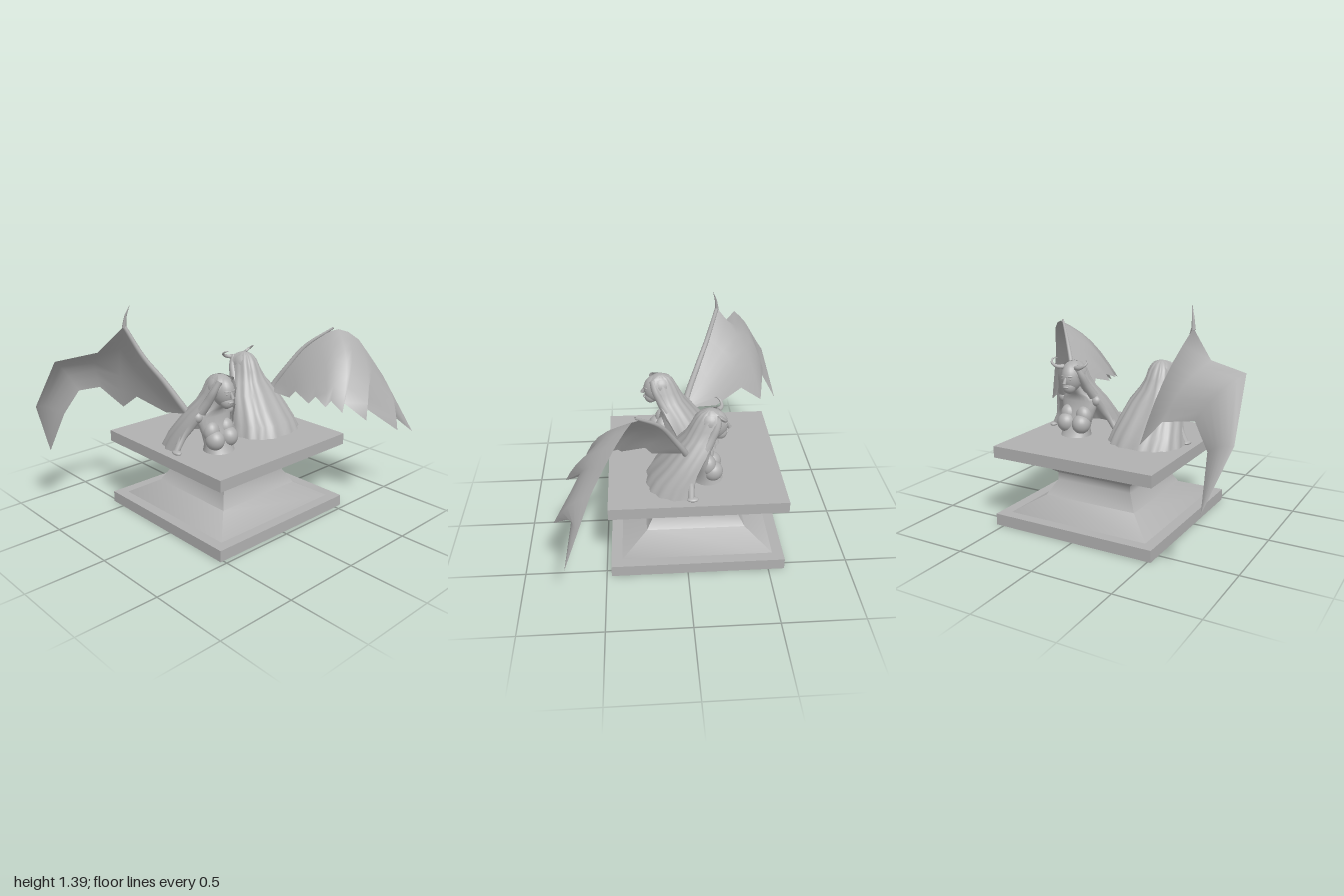
import * as THREE from 'three';
import { toCreasedNormals } from 'three/addons/utils/BufferGeometryUtils.js';

const stone = new THREE.MeshStandardMaterial({ color: 0xb0b0b0, side: THREE.DoubleSide });
stone.name = 'stone grey';

const V = (p) => new THREE.Vector3(...p);

function add(parent, name, geometry, position = [0, 0, 0], scale = [1, 1, 1]) {
  const mesh = new THREE.Mesh(geometry, stone);
  mesh.name = name;
  mesh.position.set(...position);
  mesh.scale.set(...scale);
  parent.add(mesh);
  return mesh;
}

// Skin rows of equal length into one smooth surface
function skin(rows, closed = false) {
  const n = rows[0].length, index = [];
  for (let r = 0; r < rows.length - 1; r++) {
    for (let i = 0; i < (closed ? n : n - 1); i++) {
      const j = (i + 1) % n;
      const a = r * n + i, b = r * n + j, c = a + n, d = b + n;
      index.push(a, c, b, b, c, d);
    }
  }
  const g = new THREE.BufferGeometry();
  g.setAttribute('position', new THREE.Float32BufferAttribute(rows.flat().flatMap((v) => v.toArray()), 3));
  g.setIndex(index);
  g.computeVertexNormals();
  return g;
}

// Horizontal ellipses: [y, centre z, half width, half depth]
function loft(sections, sides = 24) {
  return skin(sections.map(([y, cz, rx, rz]) => Array.from({ length: sides }, (_, i) => {
    const a = (i / sides) * Math.PI * 2;
    return new THREE.Vector3(Math.cos(a) * rx, y, cz + Math.sin(a) * rz);
  })), true);
}

// Round limb whose radius changes along its path
function taper(points, r0, r1, segs = 16, sides = 10) {
  const curve = new THREE.CatmullRomCurve3(points.map(V));
  const g = new THREE.TubeGeometry(curve, segs, 1, sides);
  const pos = g.attributes.position, v = new THREE.Vector3();
  for (let i = 0; i < pos.count; i++) {
    const t = Math.floor(i / (sides + 1)) / segs;
    const c = curve.getPointAt(t);
    v.fromBufferAttribute(pos, i).sub(c).multiplyScalar(r0 + (r1 - r0) * t).add(c);
    pos.setXYZ(i, v.x, v.y, v.z);
  }
  return g;
}

// Wing membrane between leading and trailing edges, bulged in the middle
function membrane(lead, trail, bulge) {
  const n = trail.length, rows = [];
  const edge = trail.map((_, i) => {
    const t = (i / (n - 1)) * (lead.length - 1), k = Math.min(Math.floor(t), lead.length - 2);
    return V(lead[k]).lerp(V(lead[k + 1]), t - k);
  });
  for (let r = 0; r <= 6; r++) {
    const s = r / 6;
    rows.push(edge.map((p, i) => p.clone().lerp(V(trail[i]), s)
      .addScaledVector(V(bulge), Math.sin(s * Math.PI) * Math.sin((i / (n - 1)) * Math.PI))));
  }
  return skin(rows);
}

function makeFigure(name, horned) {
  const f = new THREE.Group();
  f.name = name;
  const ball = new THREE.SphereGeometry(1, 24, 16);

  add(f, 'torso', loft([
    [0.50, 0.13, 0.10, 0.10], [0.55, 0.12, 0.09, 0.075], [0.62, 0.10, 0.10, 0.065], [0.68, 0.085, 0.12, 0.06],
    [0.73, 0.08, 0.13, 0.05], [0.76, 0.09, 0.10, 0.045], [0.78, 0.11, 0.05, 0.04], [0.84, 0.16, 0.038, 0.038],
  ]));

  // Head and face
  add(f, 'head', ball, [0, 0.89, 0.17], [0.062, 0.09, 0.075]);
  add(f, 'jaw', ball, [0, 0.835, 0.20], [0.042, 0.045, 0.042]);
  add(f, 'brow', ball, [0, 0.905, 0.222], [0.042, 0.012, 0.022]);
  add(f, 'nose', taper([[0, 0.90, 0.238], [0, 0.88, 0.248], [0, 0.863, 0.255]], 0.006, 0.013, 6, 8));
  add(f, 'lips', ball, [0, 0.836, 0.238], [0.02, 0.008, 0.011]);

  // Hair running down the back as a wide mantle
  const mantle = [
    [0.99, 0.02, 0.15, 0.12], [0.975, 0.05, 0.18, 0.08], [0.94, 0.076, 0.19, 0.05], [0.88, 0.09, 0.18, 0.02],
    [0.82, 0.12, 0.14, -0.01], [0.75, 0.165, 0.10, -0.07], [0.66, 0.20, 0.05, -0.14],
    [0.58, 0.225, 0.02, -0.21], [0.505, 0.245, 0, -0.25],
  ].map(([y, w, zf, zb], r) => Array.from({ length: 33 }, (_, i) => {
    const a = (i / 32) * Math.PI, c = Math.cos(a);
    const ripple = 1 + 0.025 * Math.sin(i * 1.6 + r * 0.7);
    return new THREE.Vector3(
      Math.sign(c) * Math.abs(c) ** 0.8 * w * ripple, y,
      zf - (zf - zb) * Math.max(0, Math.sin(a)) ** 0.8 * ripple);
  }));
  add(f, 'hairMantle', skin(mantle));
  add(f, 'hairCap', ball, [0, 0.91, 0.14], [0.08, 0.08, 0.085]);

  for (const s of [-1, 1]) {
    add(f, 'breast', ball, [s * 0.054, 0.59, 0.155], [0.058, 0.062, 0.062]);
    add(f, 'upperBreast', ball, [s * 0.056, 0.635, 0.125], [0.052, 0.065, 0.05]);
    add(f, 'eye', ball, [s * 0.024, 0.888, 0.231], [0.011, 0.006, 0.007]);
    add(f, 'shoulder', ball, [s * 0.122, 0.732, 0.075], [0.034, 0.036, 0.036]);
    add(f, 'arm', taper([[s * 0.125, 0.735, 0.075], [s * 0.155, 0.66, 0.035], [s * 0.185, 0.61, 0.015],
      [s * 0.235, 0.525, 0.01]], 0.033, 0.019));
    add(f, 'hand', ball, [s * 0.24, 0.52, 0.02], [0.024, 0.013, 0.036]);
    add(f, 'hairLock', taper([[s * 0.045, 0.965, 0.19], [s * 0.075, 0.90, 0.17], [s * 0.09, 0.84, 0.14],
      [s * 0.115, 0.77, 0.10]], 0.018, 0.032));
    if (horned) {
      add(f, 'horn', taper([[s * 0.045, 0.955, 0.19], [s * 0.085, 0.96, 0.215], [s * 0.12, 0.98, 0.21],
        [s * 0.125, 1.0, 0.185], [s * 0.105, 1.005, 0.17]], 0.016, 0.002));
    }
  }
  return f;
}

export function createModel() {
  const model = new THREE.Group();
  model.name = 'wingedPairOnPedestal';

  // Pedestal: two square slabs with a pinched square waist
  const base = new THREE.Group();
  base.name = 'pedestal';
  base.position.set(0.015, 0, -0.065);
  model.add(base);
  const slab = new THREE.BoxGeometry(1.07, 0.072, 1.07);
  add(base, 'bottomSlab', slab, [0, 0.036, 0]);
  add(base, 'topSlab', slab, [0, 0.475, 0]);
  const profile = [[0.47, 0.07], [0.31, 0.165], [0.255, 0.26], [0.255, 0.305], [0.35, 0.385], [0.49, 0.442]];
  const waist = new THREE.LatheGeometry(profile.map(([h, y]) => new THREE.Vector2(h * Math.SQRT2, y)), 4);
  waist.rotateY(Math.PI / 4);
  add(base, 'waist', toCreasedNormals(waist, 1.1));

  // Two figures back to back
  const front = makeFigure('frontFigure', false);
  front.position.set(-0.215, 0, -0.01);
  const rear = makeFigure('rearFigure', true);
  rear.position.set(0.25, 0, -0.01);
  rear.rotation.y = Math.PI;
  model.add(front, rear);

  // Clawed membrane wing
  const bat = new THREE.Group();
  bat.name = 'clawedWing';
  model.add(bat);
  const batLead = [[-0.33, 0.74, -0.05], [-0.43, 0.93, -0.13], [-0.52, 1.08, -0.20], [-0.60, 1.27, -0.27],
    [-0.74, 1.12, -0.35], [-0.97, 1.09, -0.44], [-1.0, 0.77, -0.66], [-0.875, 0.42, -0.76]];
  const batTrail = [[-0.28, 0.70, -0.08], [-0.33, 0.68, -0.25], [-0.42, 0.76, -0.43], [-0.43, 0.66, -0.57],
    [-0.58, 0.82, -0.60], [-0.75, 0.84, -0.57], [-0.84, 0.70, -0.61], [-0.875, 0.42, -0.76]];
  add(bat, 'batMembrane', membrane(batLead, batTrail, [0, 0.04, -0.04]));
  add(bat, 'batWingArm', taper([[-0.29, 0.68, -0.04], ...batLead.slice(0, 4)], 0.022, 0.012));
  add(bat, 'batClaw', taper([[-0.60, 1.26, -0.27], [-0.592, 1.33, -0.26], [-0.577, 1.39, -0.24]], 0.013, 0.001));

  // Feathered wing
  const feathered = new THREE.Group();
  feathered.name = 'featheredWing';
  model.add(feathered);
  const featherLead = [[0.36, 0.75, 0], [0.42, 0.90, 0.08], [0.50, 1.04, 0.16], [0.62, 1.165, 0.29],
    [0.74, 1.12, 0.37], [0.84, 0.88, 0.52], [1.0, 0.47, 0.69]];
  const featherTrail = [[0.33, 0.74, 0.05], [0.32, 0.74, 0.20], [0.33, 0.79, 0.24], [0.30, 0.75, 0.38],
    [0.34, 0.79, 0.40], [0.32, 0.75, 0.50], [0.37, 0.78, 0.50], [0.36, 0.73, 0.60], [0.42, 0.77, 0.56],
    [0.47, 0.68, 0.70], [0.53, 0.74, 0.62], [0.72, 0.57, 0.76], [0.77, 0.65, 0.65], [1.0, 0.47, 0.69]];
  add(feathered, 'feathers', membrane(featherLead, featherTrail, [0.01, 0.05, 0.04]));
  add(feathered, 'featherWingArm', taper([[0.32, 0.69, 0], ...featherLead.slice(0, 4)], 0.022, 0.007));
  return model;
}
